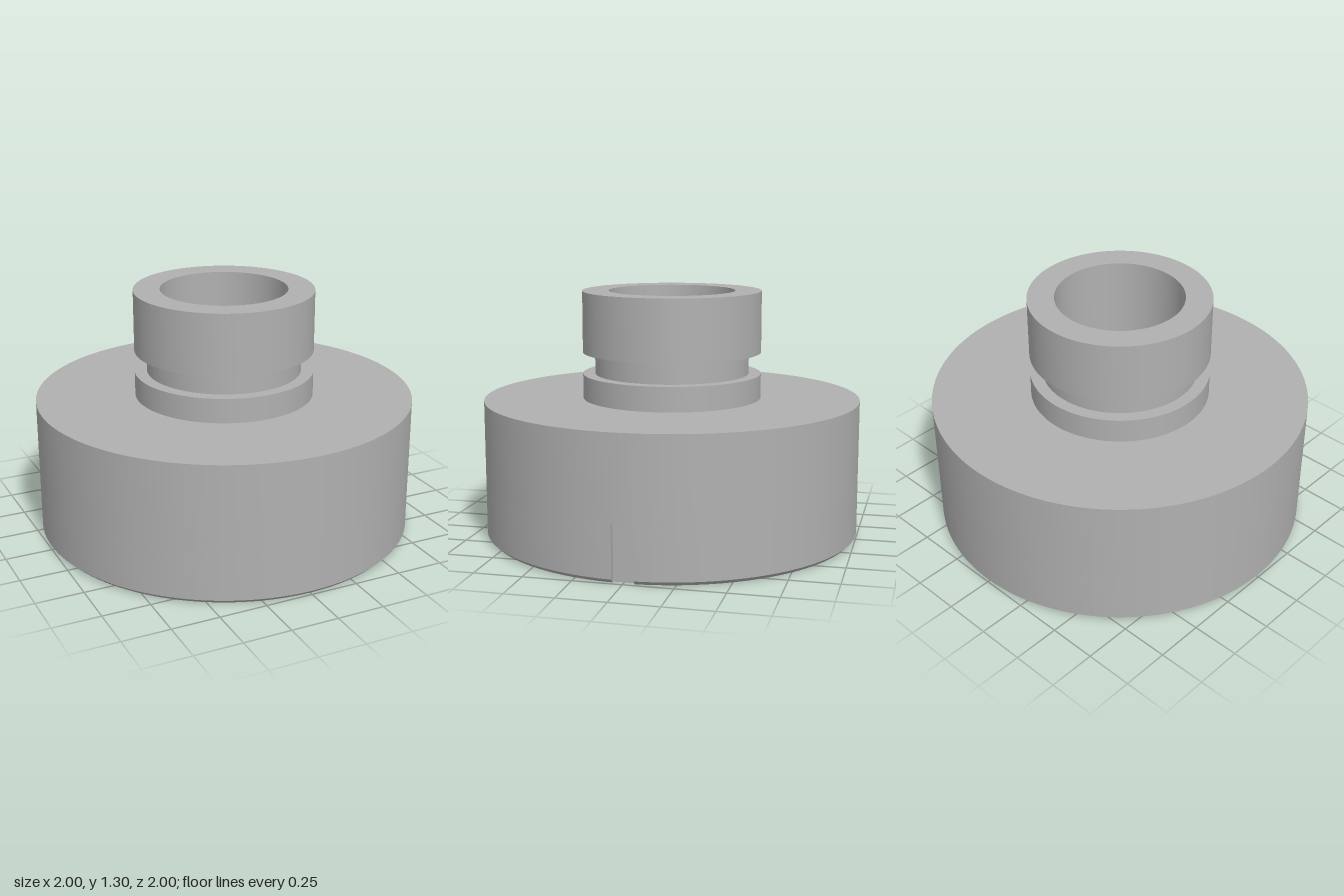
import * as THREE from 'three';
import { toCreasedNormals } from 'three/addons/utils/BufferGeometryUtils.js';

const SEGMENTS = 128;
const POCKET_TOP = 0.29;
const CHAMFER = 0.02;
const BORE = 0.785;

// Points along an arc about the origin
function arc(r, from, to, n) {
  return Array.from({ length: n + 1 }, (_, i) => {
    const a = from + ((to - from) * i) / n;
    return new THREE.Vector2(r * Math.cos(a), r * Math.sin(a));
  });
}

// Skirt outline: a shallow slot on the left side, two square pockets in the bore
function skirtShape() {
  const slot = Math.asin(0.055);
  const shape = new THREE.Shape([
    ...arc(1, slot, Math.PI * 2 - slot, SEGMENTS),
    new THREE.Vector2(0.965, -0.055),
    new THREE.Vector2(0.965, 0.055),
  ]);
  const half = 0.2;
  const a = Math.asin(half / BORE);
  const hole = [];
  for (const s of [1, -1]) {
    const start = s > 0 ? 0 : Math.PI;
    hole.push(
      new THREE.Vector2(s * 0.9, -s * half),
      new THREE.Vector2(s * 0.9, s * half),
      ...arc(BORE, start + a, start + Math.PI - a, SEGMENTS / 2),
    );
  }
  shape.holes.push(new THREE.Path(hole));
  return shape;
}

function skirtSlice(y, height) {
  const geo = new THREE.ExtrudeGeometry(skirtShape(), { depth: height, bevelEnabled: false });
  geo.rotateX(-Math.PI / 2);
  geo.translate(0, y, 0);
  return geo;
}

export function createModel() {
  const group = new THREE.Group();
  const grey = new THREE.MeshStandardMaterial({ color: 0xb0b0b0 });
  grey.name = 'grey';

  const add = (name, geo) => {
    const mesh = new THREE.Mesh(geo, grey);
    mesh.name = name;
    group.add(mesh);
    return mesh;
  };

  // Upper body with grooved neck, stepped ceiling and through bore
  const profile = [
    [BORE, POCKET_TOP], [1, POCKET_TOP], [1, 0.73], [0.475, 0.73],
    [0.475, 0.86], [0.41, 0.86], [0.41, 0.975], [0.475, 0.975],
    [0.475, 1.3], [0.335, 1.3], [0.335, 0.68], [0.43, 0.68],
    [0.43, 0.6], [0.63, 0.6], [0.63, 0.57], [BORE, 0.57], [BORE, POCKET_TOP],
  ].map(([x, y]) => new THREE.Vector2(x, y));
  add('bodyAndNeck', toCreasedNormals(new THREE.LatheGeometry(profile, SEGMENTS), 0.4));

  // Skirt around the open underside
  add('skirt', toCreasedNormals(skirtSlice(CHAMFER, POCKET_TOP - CHAMFER), 0.4));

  // Bottom edge, its outer rim drawn in to make the chamfer
  const rim = skirtSlice(0, CHAMFER);
  const pos = rim.attributes.position;
  for (let i = 0; i < pos.count; i++) {
    const x = pos.getX(i), z = pos.getZ(i);
    if (pos.getY(i) < CHAMFER / 2 && Math.hypot(x, z) > 0.99) {
      pos.setX(i, x * 0.98);
      pos.setZ(i, z * 0.98);
    }
  }
  add('chamferedRim', toCreasedNormals(rim, 0.4));

  // Grip ribs on the back wall of the right pocket
  for (const z of [-0.1, 0, 0.1]) {
    add('pocketRib', new THREE.BoxGeometry(0.03, 0.26, 0.04)).position.set(-0.89, 0.16, z);
  }

  return group;
}
